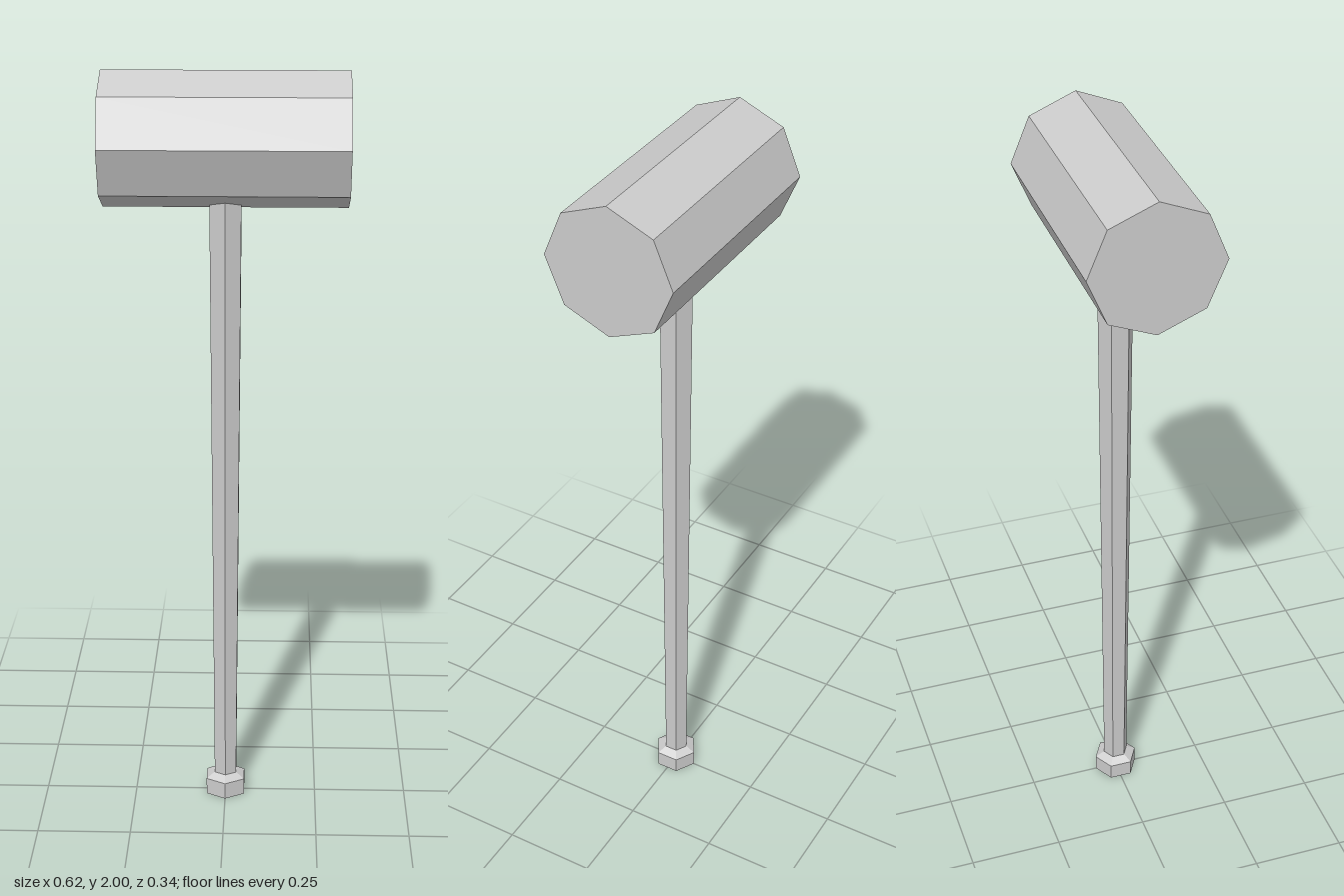
import * as THREE from 'three';

export function createModel() {
  const model = new THREE.Group();
  model.name = 'mallet';
  const material = new THREE.MeshStandardMaterial({ color: 0xcccccc, flatShading: true });

  // Faceted cylinder standing on y = bottom, with an edge facing the front
  function prism(name, topRadius, bottomRadius, bottom, top, sides) {
    const geometry = new THREE.CylinderGeometry(topRadius, bottomRadius, top - bottom, sides);
    const mesh = new THREE.Mesh(geometry, material);
    mesh.name = name;
    mesh.position.y = (bottom + top) / 2;
    model.add(mesh);
    return mesh;
  }

  // Eight-sided head lying along x, one edge at the top
  const headRadius = 0.172, headLength = 0.625;
  const head = prism('head', headRadius, headRadius, 0, headLength, 8);
  head.rotation.z = Math.PI / 2;
  head.position.y = 2 - headRadius;

  // Six-sided handle, widening towards the head and sunk into it
  prism('handle', 0.047, 0.034, 0.04, 1.69, 6);

  // Six-sided pommel with a bevelled upper rim
  const profile = [[0, 0], [0.06, 0], [0.06, 0.046], [0.036, 0.06], [0, 0.06]];
  const pommel = new THREE.Mesh(
    new THREE.LatheGeometry(profile.map(([r, y]) => new THREE.Vector2(r, y)), 6),
    material
  );
  pommel.name = 'pommel';
  model.add(pommel);

  return model;
}
